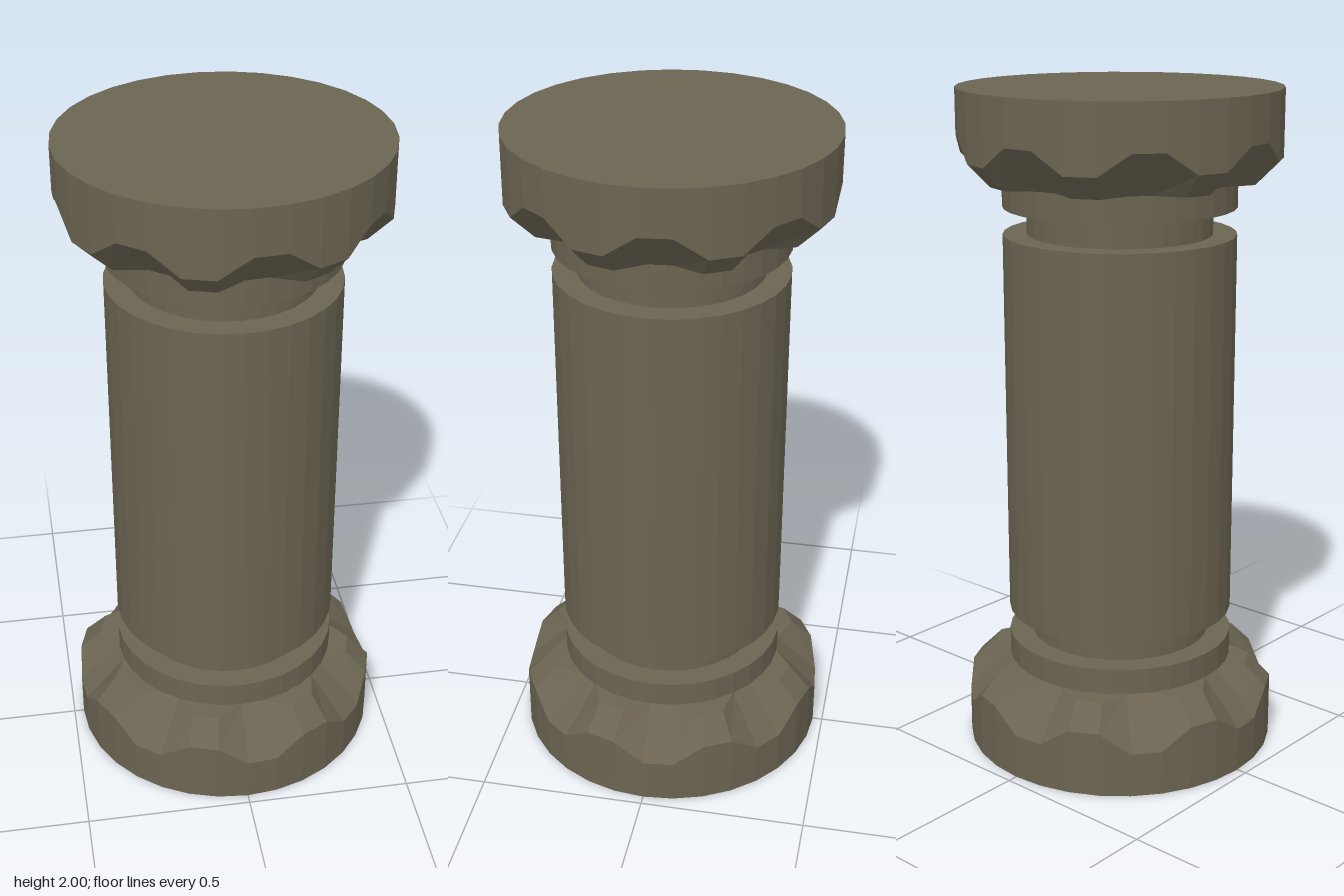
import * as THREE from 'three';

const SIDES = 32;
const material = new THREE.MeshStandardMaterial({ color: 0x6b6452, flatShading: true });

// Round slab whose upper rim is chamfered alternately deep and shallow, eight times round.
function scallopedSlab() {
  const radius = 0.47, top = 0.265;
  const rings = [
    () => [0, 0],
    () => [radius, 0],
    (cut) => [radius, top - cut],
    (cut) => [radius - cut, top],
    () => [0, top],
  ];
  const point = (ring, i) => {
    const angle = (i / SIDES) * Math.PI * 2;
    const cut = i % 4 < 2 ? 0.13 : 0.068; // two deep corners, two shallow ones
    const [r, y] = rings[ring](cut);
    return [r * Math.sin(angle), y, r * Math.cos(angle)];
  };
  const positions = [];
  for (let ring = 0; ring < rings.length - 1; ring++) {
    for (let i = 0; i < SIDES; i++) {
      const a = point(ring, i), b = point(ring, i + 1);
      const c = point(ring + 1, i + 1), d = point(ring + 1, i);
      if (ring > 0) positions.push(...a, ...b, ...(ring < rings.length - 2 ? c : d));
      if (ring < rings.length - 2) positions.push(...a, ...c, ...d);
    }
  }
  const geometry = new THREE.BufferGeometry();
  geometry.setAttribute('position', new THREE.Float32BufferAttribute(positions, 3));
  geometry.computeVertexNormals();
  return geometry;
}

export function createModel() {
  const group = new THREE.Group();
  const add = (name, geometry) => {
    const mesh = new THREE.Mesh(geometry, material);
    mesh.name = name;
    group.add(mesh);
  };
  const drum = (name, radius, y0, y1) =>
    add(name, new THREE.CylinderGeometry(radius, radius, y1 - y0, SIDES).translate(0, (y0 + y1) / 2, 0));

  // Base, and the same slab turned over as the capital with its scallops lined up
  const slab = scallopedSlab();
  add('base', slab);
  add('capital', slab.clone().rotateX(Math.PI).rotateY((Math.PI * 2) / SIDES).translate(0, 2, 0));

  // Shaft with a recessed neck and a collar at each end
  drum('shaft', 0.342, 0.422, 1.578);
  drum('lowerNeck', 0.272, 0.342, 0.422);
  drum('upperNeck', 0.272, 1.578, 1.658);
  drum('lowerCollar', 0.342, 0.265, 0.342);
  drum('upperCollar', 0.342, 1.658, 1.735);

  return group;
}
